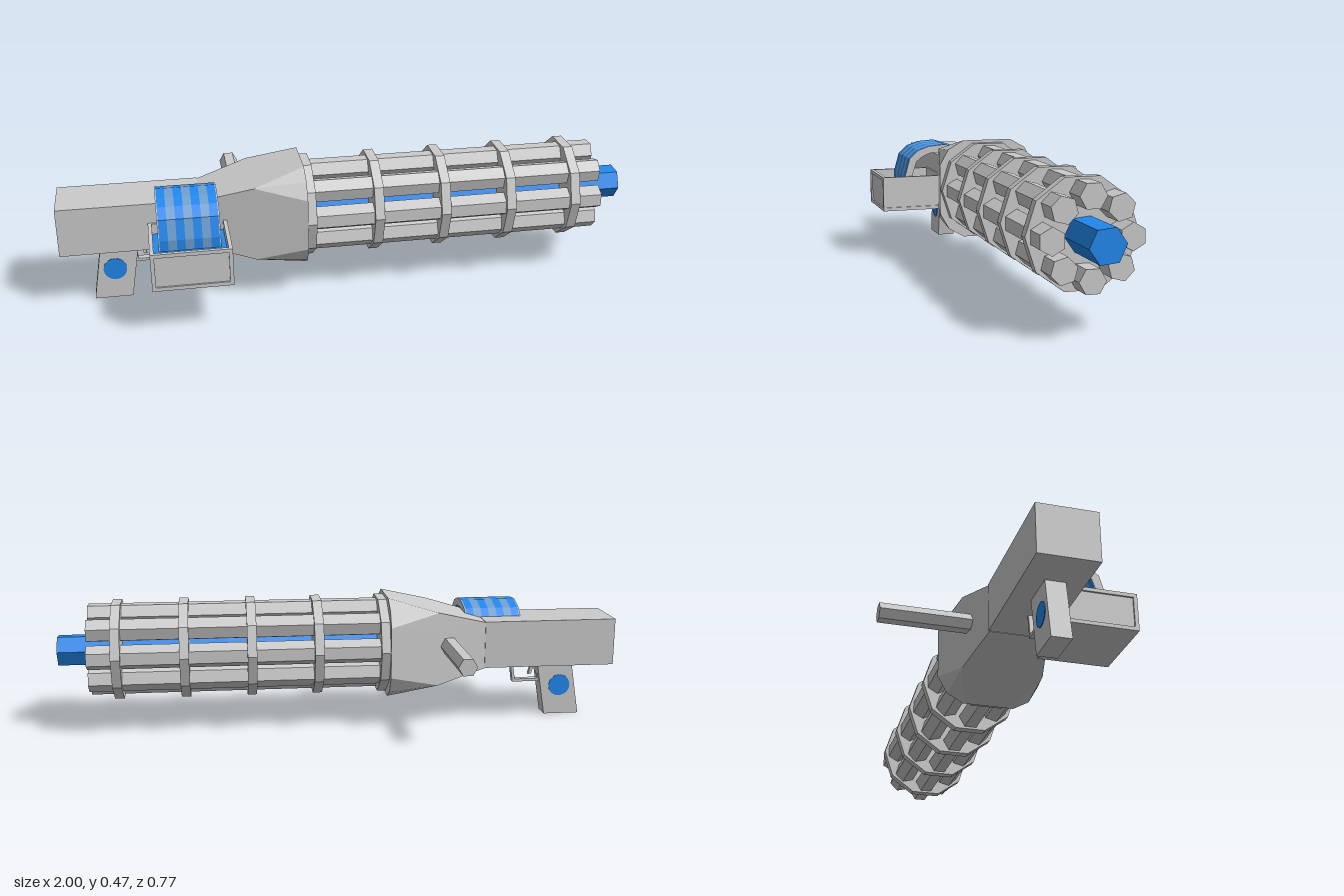
import * as THREE from 'three';
import { ConvexGeometry } from 'three/addons/geometries/ConvexGeometry.js';

const grey = new THREE.MeshStandardMaterial({ color: 0xcccccc, flatShading: true });
const blue = new THREE.MeshStandardMaterial({ color: 0x2288ee, flatShading: true });
const paleBlue = new THREE.MeshStandardMaterial({ color: 0x6f9fd0, flatShading: true });
const AXIS_Y = 0.286, AXIS_Z = 0.05;

export function createModel() {
  const model = new THREE.Group();
  model.name = 'rotaryBlaster';

  const add = (name, geometry, material = grey, parent = model) => {
    const mesh = new THREE.Mesh(geometry, material);
    mesh.name = name;
    parent.add(mesh);
    return mesh;
  };
  // Box given by its two extreme corners
  const box = (name, x0, x1, y0, y1, z0, z1, material, parent) =>
    add(name, new THREE.BoxGeometry(x1 - x0, y1 - y0, z1 - z0), material, parent)
      .position.set((x0 + x1) / 2, (y0 + y1) / 2, (z0 + z1) / 2);
  // Prism lying along x, with a corner facing +z
  const prismX = (radius, x0, x1, sides) =>
    new THREE.CylinderGeometry(radius, radius, x1 - x0, sides)
      .rotateZ(-Math.PI / 2).translate((x0 + x1) / 2, 0, 0);
  const extrude = (points, depth) =>
    new THREE.ExtrudeGeometry(new THREE.Shape(points.map(p => new THREE.Vector2(...p))),
      { depth, bevelEnabled: false });

  // Rear body
  box('stock', -1, -0.52, 0.203, 0.373, -0.052, 0.145);

  // Flared housing: square at the back, chamfered corners at the front
  const flare = [];
  for (const sy of [-1, 1]) for (const sz of [-1, 1]) {
    const corner = (x, dy, dz) =>
      flare.push(new THREE.Vector3(x, AXIS_Y + sy * dy, AXIS_Z - 0.001 + sz * dz));
    corner(-0.52, 0.085, 0.098);
    corner(-0.342, 0.1325, 0.139);
    corner(-0.165, 0.18, 0.09);
    corner(-0.165, 0.148, 0.147);
    corner(-0.165, 0.09, 0.18);
  }
  add('housing', new ConvexGeometry(flare));

  // Barrel cluster
  const cluster = new THREE.Group();
  cluster.name = 'barrelCluster';
  cluster.position.set(0, AXIS_Y, AXIS_Z);
  model.add(cluster);
  for (let i = 0; i < 8; i++) {
    const barrel = prismX(0.043, -0.17, 0.89, 6).translate(0, 0.124, 0);
    add('barrel', barrel.rotateX(i * Math.PI / 4), grey, cluster);
  }
  add('centreBarrel', prismX(0.058, -0.17, 1, 6).rotateX(0.09), blue, cluster);
  for (let i = 0; i < 5; i++) {
    const x = -0.15 + i * 0.235;
    add('barrelRing', prismX(0.178, x - 0.0165, x + 0.0165, 10), grey, cluster);
  }

  // Side handle, pointing to the back
  add('sideHandle', new THREE.CylinderGeometry(0.033, 0.033, 0.355, 6)
    .rotateY(Math.PI / 2).rotateX(Math.PI / 2).translate(-0.382, 0.296, -0.2075));

  // Slanted grip with a round inlay on both faces
  add('grip', extrude([[-0.9, 0], [-0.77, 0], [-0.735, 0.21], [-0.865, 0.21]], 0.066)
    .translate(0, 0, 0.018));
  add('gripInlay', new THREE.CylinderGeometry(0.04, 0.04, 0.07, 20)
    .rotateX(Math.PI / 2).translate(-0.823, 0.11, 0.051), blue);

  // Trigger and its guard
  add('triggerGuard', extrude([
    [-0.755, 0.21], [-0.752, 0.122], [-0.65, 0.122], [-0.638, 0.21],
    [-0.648, 0.21], [-0.659, 0.132], [-0.742, 0.132], [-0.745, 0.21]], 0.024)
    .translate(0, 0, 0.039));
  add('trigger', extrude([
    [-0.725, 0.21], [-0.73, 0.18], [-0.722, 0.15], [-0.71, 0.148],
    [-0.718, 0.178], [-0.708, 0.21]], 0.016).translate(0, 0, 0.043));

  // Open ammunition box: recessed panels held in a frame
  const crate = new THREE.Group();
  crate.name = 'ammoBox';
  model.add(crate);
  const [x0, x1, y0, y1, z0, z1] = [-0.7, -0.435, 0.17, 0.302, 0.14, 0.386];
  const t = 0.013, r = 0.006;
  box('boxFloor', x0, x1, y0, y0 + t, z0, z1, grey, crate);
  for (const x of [x0, x1 - t]) {
    box('boxSidePanel', x + r * (x === x0), x + t - r * (x !== x0), y0 + t, y1 - t, z0 + t, z1 - t, grey, crate);
    box('boxSideRim', x, x + t, y1 - t, y1, z0, z1, grey, crate);
    for (const z of [z0, z1 - t])
      box('boxPost', x, x + t, y0 + t, y1 - t, z, z + t, grey, crate);
  }
  for (const z of [z0, z1 - t]) {
    box('boxEndPanel', x0 + t, x1 - t, y0 + t, y1 - t, z + r * (z === z0), z + t - r * (z !== z0), grey, crate);
    box('boxEndRim', x0 + t, x1 - t, y1 - t, y1, z, z + t, grey, crate);
  }
  box('ammoFill', x0 + t, x1 - t, y0 + t, 0.265, z0 + t, z1 - t, blue, crate);

  // Feed belt arching from the box into the body, in stripes across x
  const beltProfile = [
    [0.292, 0.25], [0.292, 0.302], [0.273, 0.369], [0.238, 0.4], [0.195, 0.415],
    [0.13, 0.42], [0.065, 0.4], [0.025, 0.36], [0.06, 0.36], [0.085, 0.378],
    [0.135, 0.391], [0.19, 0.388], [0.222, 0.375], [0.247, 0.355], [0.264, 0.302], [0.264, 0.25]];
  const beltSlice = (name, start, width, material) =>
    add(name, extrude(beltProfile.map(([z, y]) => [-z, y]), width)
      .rotateY(Math.PI / 2).translate(start, 0, 0), material);
  const left = -0.67, edge = 0.004, stripe = (0.205 - 2 * edge) / 7;
  beltSlice('beltEdge', left, edge, grey);
  for (let i = 0; i < 7; i++)
    beltSlice('beltStripe', left + edge + i * stripe, stripe, i % 2 ? paleBlue : blue);
  beltSlice('beltEdge', left + 0.205 - edge, edge, grey);

  return model;
}
